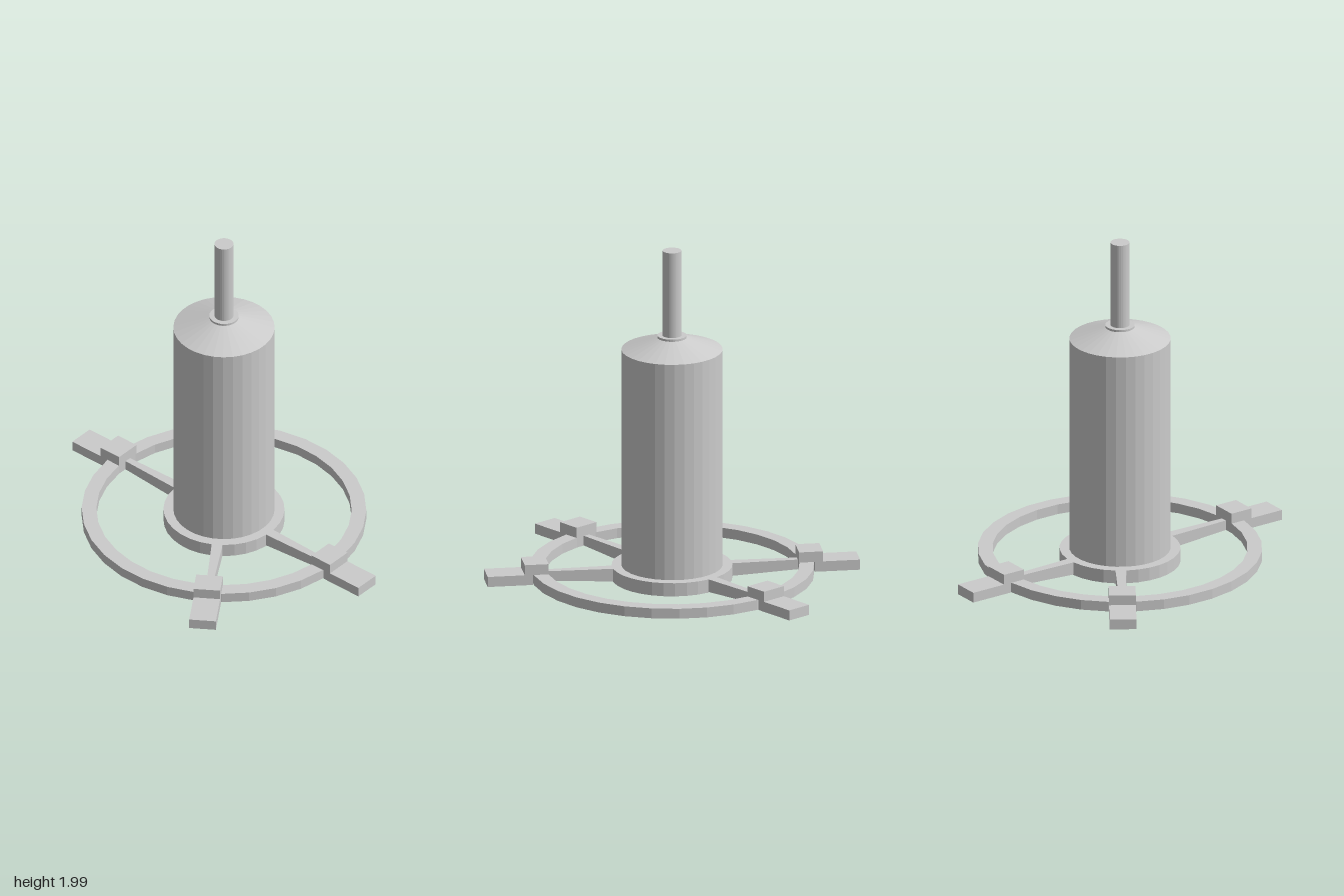
import * as THREE from 'three';

const material = new THREE.MeshStandardMaterial({ color: 0xcccccc, flatShading: true });
const SIDES = 32;

function add(parent, name, geometry) {
  const mesh = new THREE.Mesh(geometry, material);
  mesh.name = name;
  parent.add(mesh);
  return mesh;
}

// Turned part from [radius, height] pairs, listed from bottom to top on the outside
function turned(points) {
  return new THREE.LatheGeometry(points.map(([r, y]) => new THREE.Vector2(r, y)), SIDES);
}

// Box between two heights and two distances along +z
function slab(width, y0, y1, z0, z1) {
  return new THREE.BoxGeometry(width, y1 - y0, z1 - z0).translate(0, (y0 + y1) / 2, (z0 + z1) / 2);
}

// Spoke that gets narrower and shallower from hub to rim
function spokeGeometry() {
  const geo = slab(1, 0, 1, 0.335, 0.75);
  const p = geo.attributes.position;
  for (let i = 0; i < p.count; i++) {
    const outer = p.getZ(i) > 0.5;
    p.setX(i, p.getX(i) * (outer ? 0.038 : 0.064));
    p.setY(i, p.getY(i) > 0.5 ? 0.08 : (outer ? 0.022 : 0.003));
  }
  geo.computeVertexNormals();
  return geo;
}

export function createModel() {
  const model = new THREE.Group();
  model.name = 'cylinderOnSpokedBase';

  // Tank with sloping shoulder and small collar
  add(model, 'body', turned([
    [0.293, 0.08], [0.293, 1.39], [0.085, 1.462], [0.085, 1.475], [0, 1.475],
  ]));
  add(model, 'topRod', new THREE.CylinderGeometry(0.055, 0.055, 0.52, SIDES).translate(0, 1.73, 0));

  // Hub flange, hollowed underneath with a sloping inner wall
  add(model, 'hubFlange', turned([
    [0, 0.06], [0.29, 0.06], [0.343, 0], [0.35, 0], [0.35, 0.08], [0.29, 0.08],
  ]));

  // Outer ring
  add(model, 'baseRing', turned([
    [0.738, 0.02], [0.823, 0.02], [0.823, 0.08], [0.738, 0.08], [0.738, 0.02],
  ]));

  // Four arms: spoke, raised clamp over the ring, and foot pad
  const spread = THREE.MathUtils.degToRad(28);
  [spread, -spread, Math.PI - spread, Math.PI + spread].forEach((angle) => {
    const arm = new THREE.Group();
    arm.name = 'arm';
    arm.rotation.y = angle;
    add(arm, 'spoke', spokeGeometry());
    add(arm, 'ringClamp', slab(0.155, 0.08, 0.142, 0.732, 0.872));
    add(arm, 'footPad', slab(0.155, 0.02, 0.081, 0.823, 1.088));
    model.add(arm);
  });

  return model;
}
